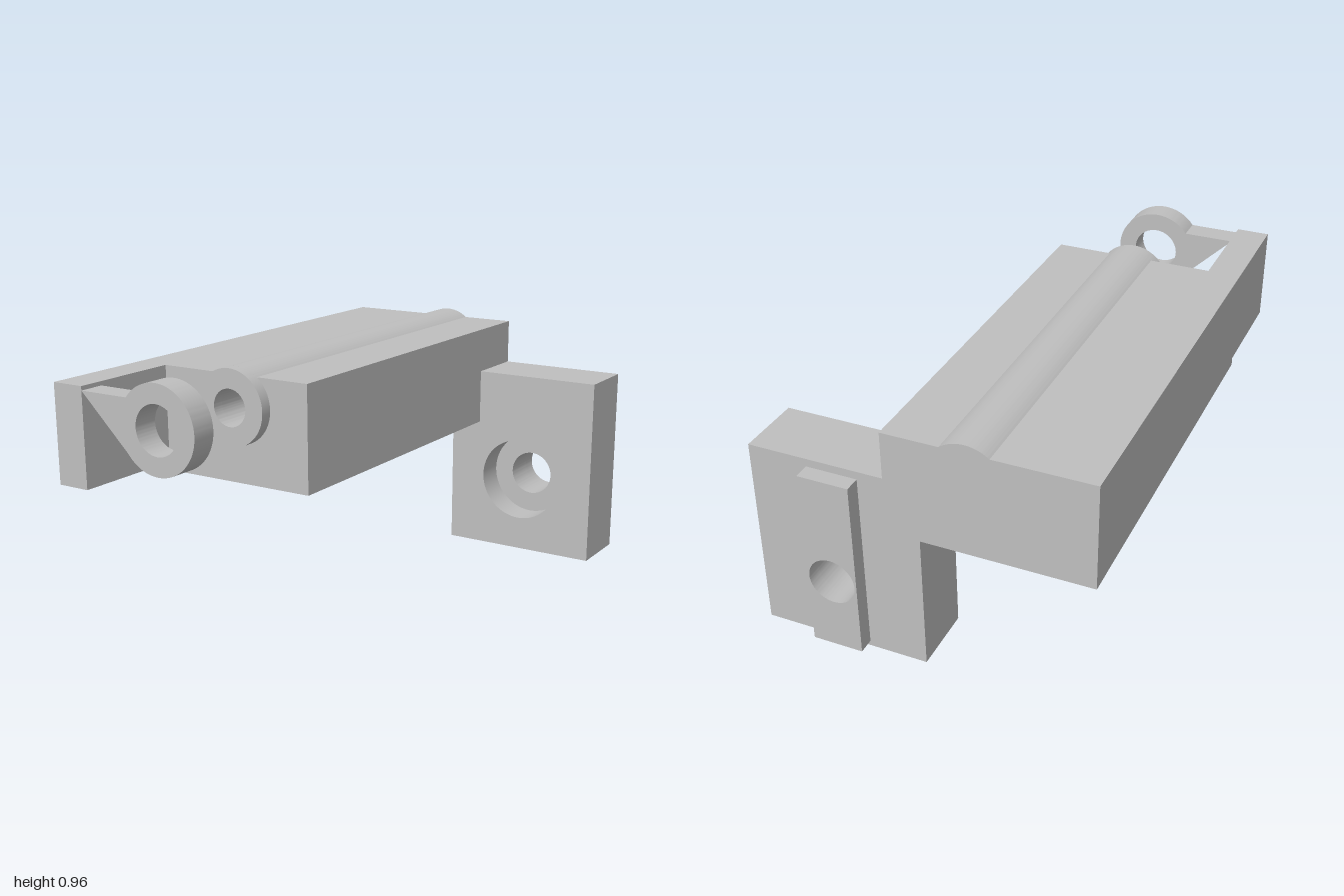
import * as THREE from 'three';
import { toCreasedNormals } from 'three/addons/utils/BufferGeometryUtils.js';

const BORE = { x: -0.18, y: 0.805 };   // axis of the long tube
const BOLT = { x: 0.305, y: 0.3 };     // axis of the mounting hole
const LEFT = -0.625, RIGHT = 0.115, BOTTOM = 0.525, TOP = 0.915;

export function createModel() {
  const grey = new THREE.MeshStandardMaterial({ color: 0xbfbfbf });
  grey.name = 'plain grey';
  const group = new THREE.Group();
  group.name = 'slideBracket';

  // Extrude a shape between two z positions, smooth on arcs and sharp on corners
  function add(name, shape, z0, z1) {
    const geometry = new THREE.ExtrudeGeometry(shape, {
      depth: z1 - z0, bevelEnabled: false, curveSegments: 48,
    });
    geometry.translate(0, 0, z0);
    const mesh = new THREE.Mesh(toCreasedNormals(geometry, 0.5), grey);
    mesh.name = name;
    group.add(mesh);
  }

  function hole(shape, c, r) {
    shape.holes.push(new THREE.Path().absarc(c.x, c.y, r, 0, Math.PI * 2, true));
    return shape;
  }

  function rect(x0, x1, y0, y1) {
    return new THREE.Shape([[x0, y0], [x1, y0], [x1, y1], [x0, y1]]
      .map(([x, y]) => new THREE.Vector2(x, y)));
  }

  function disc(c, r) {
    return new THREE.Shape().absarc(c.x, c.y, r, 0, Math.PI * 2, false);
  }

  // Body top: flat with the rounded ridge of the tube rising through it
  function ridgeTop(shape) {
    const a = Math.asin((TOP - BORE.y) / 0.14);
    shape.lineTo(RIGHT, TOP);
    shape.absarc(BORE.x, BORE.y, 0.14, a, Math.PI - a, false);
    shape.lineTo(LEFT, TOP);
    shape.lineTo(LEFT, BOTTOM);
    return shape;
  }

  // Long body with its blind bore
  const body = new THREE.Shape();
  body.moveTo(LEFT, BOTTOM);
  body.lineTo(RIGHT, BOTTOM);
  add('body', hole(ridgeTop(body), BORE, 0.068), -0.69, 0.575);

  // Rear end: body and mounting plate as one stepped outline
  function rearOutline() {
    const s = new THREE.Shape();
    s.moveTo(LEFT, BOTTOM);
    s.lineTo(-0.01, BOTTOM);
    s.lineTo(-0.01, 0);
    s.lineTo(0.62, 0);
    s.lineTo(0.62, 0.74);
    s.lineTo(RIGHT, 0.74);
    return ridgeTop(s);
  }
  add('counterboredPlate', hole(rearOutline(), BOLT, 0.167), -0.81, -0.69);
  add('mountingPlate', hole(rearOutline(), BOLT, 0.088), -0.94, -0.81);

  // Locating rail on the back of the plate
  add('backRail', hole(rect(0.21, 0.4, 0.02, 0.71), BOLT, 0.088), -1, -0.94);

  // Collar at the front end of the tube
  add('tubeCollar', hole(disc(BORE, 0.14), BORE, 0.068), 0.575, 0.62);

  // Side arm reaching forward
  add('sideArm', rect(LEFT, -0.5, 0.555, TOP), 0.575, 1);

  // Cross bar ending in a guide ring in line with the tube
  const b = Math.asin(0.095 / 0.157);
  const eye = new THREE.Shape();
  eye.moveTo(-0.5, BORE.y - 0.095);
  eye.absarc(BORE.x, BORE.y, 0.157, -Math.PI + b, Math.PI - b, false);
  eye.lineTo(-0.5, BORE.y + 0.095);
  add('guideRing', hole(eye, BORE, 0.088), 0.905, 1);

  return group;
}
